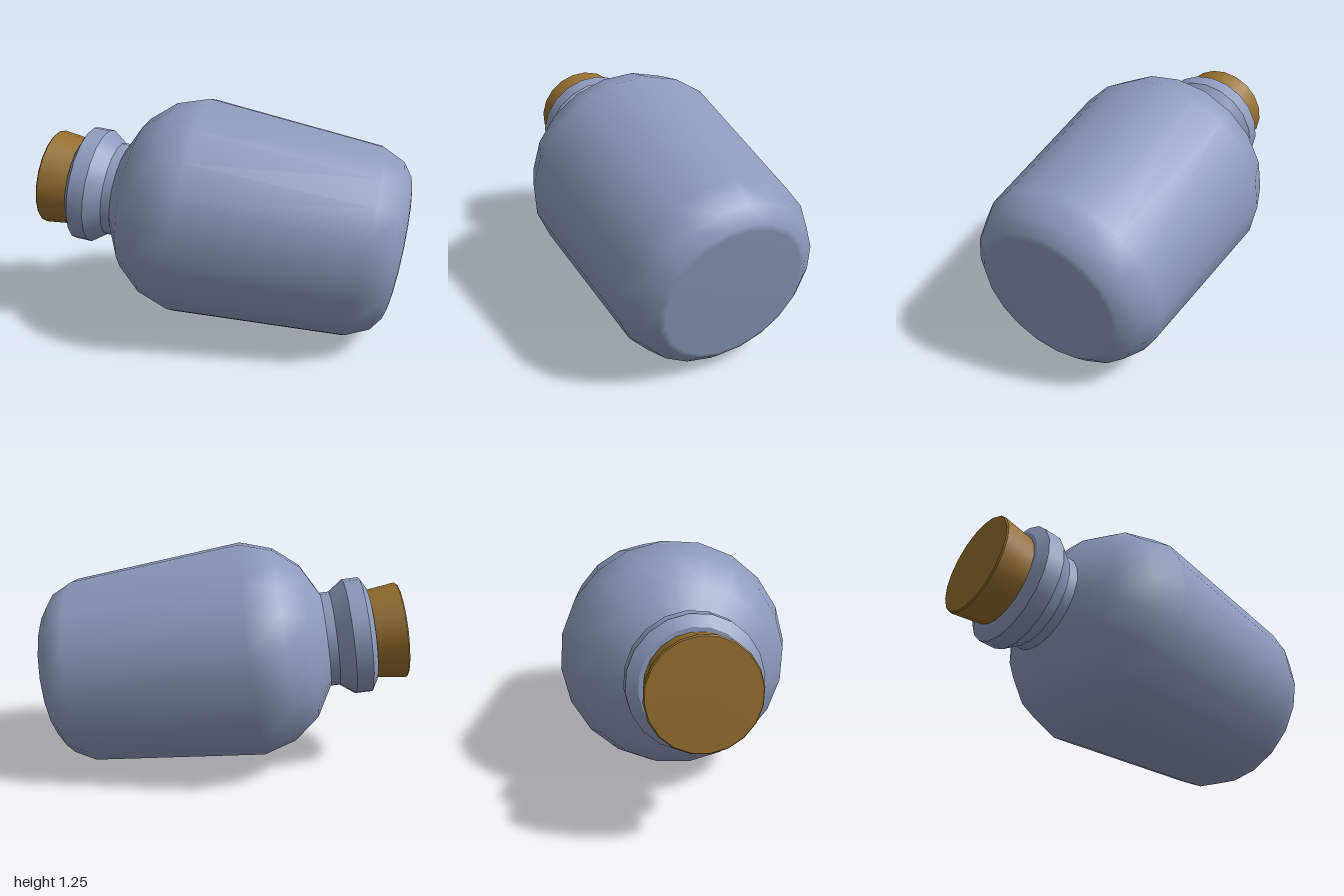
import * as THREE from 'three';

const SIDES = 20;

export function createModel() {
  const glass = new THREE.MeshStandardMaterial({ color: 0x8d9abc });
  glass.name = 'blue grey glass';
  const corkBrown = new THREE.MeshStandardMaterial({ color: 0x966f2e });
  corkBrown.name = 'cork brown';

  const model = new THREE.Group();
  model.name = 'corkedBottle';

  // Turned part from [radius, height] pairs, listed from base to mouth
  function turned(name, profile, material) {
    const points = profile.map(([r, h]) => new THREE.Vector2(r, h));
    const geometry = new THREE.LatheGeometry(points, SIDES, Math.PI / SIDES);
    const mesh = new THREE.Mesh(geometry, material);
    mesh.name = name;
    model.add(mesh);
  }

  // Each band is a mesh of its own, so the edges between bands stay sharp
  function banded(name, profile, material) {
    for (let i = 0; i < profile.length - 1; i++) {
      turned(name + (i + 1), [profile[i], profile[i + 1]], material);
    }
  }

  // Body: flat base, rounded heel, tapering wall and rounded shoulder
  turned('body', [
    [0, -1.12], [0.365, -1.12], [0.395, -1.113], [0.467, -1.06], [0.524, -0.94],
    [0.6, 0], [0.543, 0.175], [0.43, 0.312], [0.262, 0.405],
  ], glass);

  // Neck with a flared collar and a bevelled lip
  banded('neckBand', [
    [0.262, 0.39], [0.262, 0.455], [0.32, 0.535], [0.32, 0.623], [0.265, 0.655], [0.2, 0.655],
  ], glass);

  // Cork, wider at its outer end
  banded('cork', [
    [0, 0.6], [0.237, 0.6], [0.264, 0.815], [0.258, 0.822], [0, 0.822],
  ], corkBrown);

  // Lay the bottle down along its tilted axis
  const axis = new THREE.Vector3(-0.877, 0.148, 0.457).normalize();
  const forward = new THREE.Vector3(0, 0, 1).addScaledVector(axis, -axis.z).normalize();
  const side = new THREE.Vector3().crossVectors(axis, forward);
  model.quaternion.setFromRotationMatrix(new THREE.Matrix4().makeBasis(side, axis, forward));
  model.position.set(-0.16, 0.66, 0.145);

  const root = new THREE.Group();
  root.name = 'bottle';
  root.add(model);
  return root;
}
